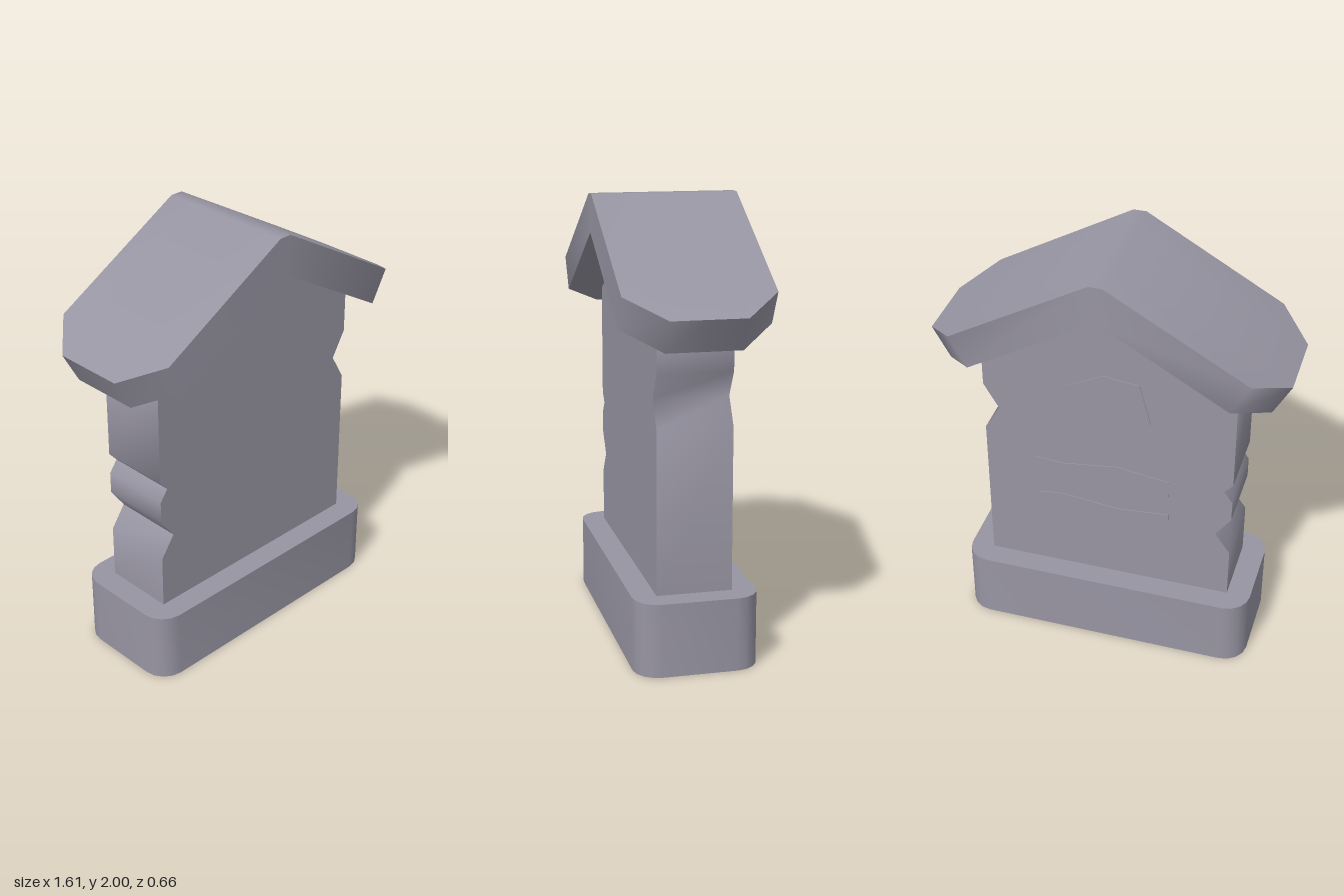
import * as THREE from 'three';
import { toCreasedNormals } from 'three/addons/utils/BufferGeometryUtils.js';

const stone = new THREE.MeshStandardMaterial({ color: 0x9895a3 });
stone.name = 'grey stone';

const points = (list) => list.map(([x, y]) => new THREE.Vector2(x, y));
const deg = THREE.MathUtils.degToRad;

function part(name, geometry, crease) {
  const mesh = new THREE.Mesh(toCreasedNormals(geometry, deg(crease)), stone);
  mesh.name = name;
  return mesh;
}

function extrude(shape, depth, steps = 1, curveSegments = 2) {
  return new THREE.ExtrudeGeometry(shape, { depth, steps, curveSegments, bevelEnabled: false });
}

// Plinth with rounded upright corners
function makeBase() {
  const w = 0.69, d = 0.275, r = 0.11, h = 0.33;
  const shape = new THREE.Shape();
  shape.absarc(w - r, d - r, r, 0, Math.PI / 2);
  shape.absarc(r - w, d - r, r, Math.PI / 2, Math.PI);
  shape.absarc(r - w, r - d, r, Math.PI, Math.PI * 1.5);
  shape.absarc(w - r, r - d, r, Math.PI * 1.5, Math.PI * 2);
  return part('base', extrude(shape, h).rotateX(-Math.PI / 2), 30);
}

// Upright slab with chipped edges
function makeSlab() {
  const shape = new THREE.Shape(points([
    [-0.58, 0.33], [0.58, 0.33],
    [0.58, 1.06], [0.51, 1.18], [0.58, 1.3],
    [0.58, 1.495], [0, 1.83], [-0.58, 1.495],
    [-0.58, 0.98], [-0.54, 0.935], [-0.58, 0.88],
    [-0.58, 0.78], [-0.51, 0.68], [-0.58, 0.58],
  ]));
  return part('slab', extrude(shape, 0.335).translate(0, 0, -0.1675), 65);
}

// Gabled roof; the eave corners are cut back along the slope
function makeRoof() {
  const shape = new THREE.Shape(points([
    [0.03, 2], [-0.03, 2], [-0.805, 1.56], [-0.725, 1.415],
    [0, 1.83], [0.725, 1.415], [0.805, 1.56],
  ]));
  const geometry = extrude(shape, 0.66, 4).translate(0, 0, -0.33);
  const p = geometry.attributes.position;
  for (let i = 0; i < p.count; i++) {
    const x = p.getX(i);
    if (Math.abs(p.getZ(i)) > 0.3 && Math.abs(x) > 0.5) {
      p.setXY(i, x - Math.sign(x) * 0.145, p.getY(i) + 0.081);
    }
  }
  return part('roof', geometry, 50);
}

// Thin relief plate on the back of the slab, drawn as seen from behind
function makeRelief(name, outline, holes = []) {
  const shape = new THREE.Shape(points(outline));
  shape.holes = holes.map((hole) => new THREE.Path(points(hole)));
  return part(name, extrude(shape, 0.004).translate(0, 0, 0.1675).rotateY(Math.PI), 30);
}

export function createModel() {
  const model = new THREE.Group();
  model.name = 'gravestone';
  model.add(makeBase(), makeSlab(), makeRoof());

  // Skull with two open eye sockets
  model.add(makeRelief('skull', [
    [-0.24, 1.23], [-0.185, 1.37], [-0.02, 1.455], [0.146, 1.435], [0.2, 1.23],
    [0.138, 1.08], [0.043, 1.07], [-0.02, 1.02], [-0.075, 1.085], [-0.178, 1.07],
  ], [
    [[-0.2, 1.18], [-0.12, 1.275], [-0.05, 1.25], [-0.06, 1.16], [-0.115, 1.115], [-0.185, 1.135]],
    [[0, 1.235], [0.075, 1.285], [0.155, 1.215], [0.12, 1.14], [0.075, 1.125], [0, 1.165]],
  ]));

  // Two wavy bands below the skull
  const bandX = [-0.34, -0.217, 0.043, 0.288];
  const bands = { upperBand: [0.94, 0.93, 0.965, 0.93], lowerBand: [0.735, 0.75, 0.72, 0.74] };
  for (const [name, tops] of Object.entries(bands)) {
    const top = bandX.map((x, i) => [x, tops[i]]);
    const bottom = top.map(([x, y]) => [x, y - 0.08]).reverse();
    model.add(makeRelief(name, [...top, ...bottom]));
  }
  return model;
}
